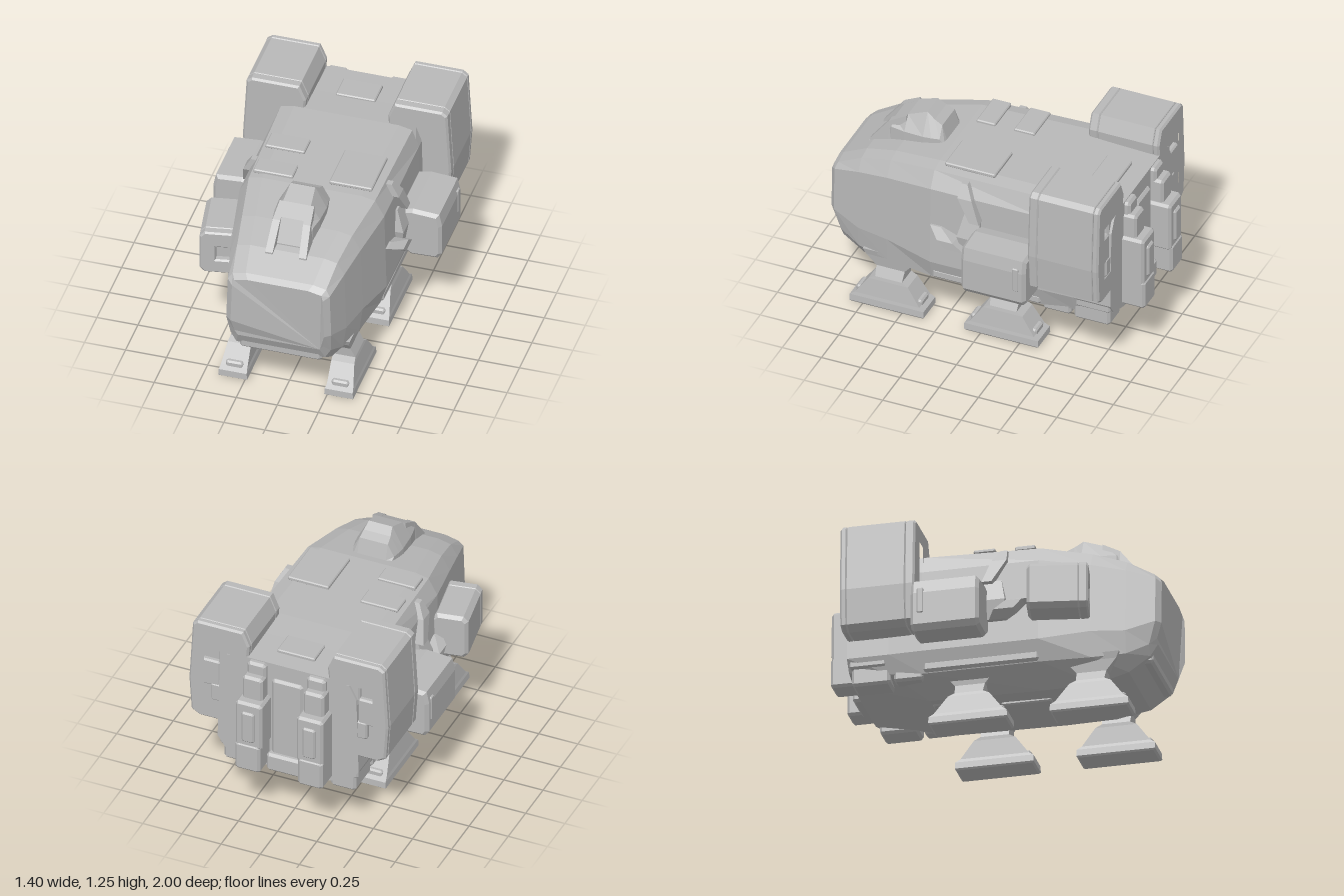
import * as THREE from 'three';

const hullGrey = new THREE.MeshStandardMaterial({ color: 0xb8b8b8, flatShading: true });
hullGrey.name = 'hullGrey';

// Skin a list of closed rings (counter-clockwise seen from the first end) and cap both ends
function loft(rings) {
  const pos = [], n = rings[0].length;
  const tri = (...p) => p.forEach(v => pos.push(...v));
  for (let i = 0; i < rings.length - 1; i++) {
    for (let j = 0; j < n; j++) {
      const a = rings[i][j], b = rings[i][(j + 1) % n];
      const d = rings[i + 1][j], c = rings[i + 1][(j + 1) % n];
      tri(a, d, b); tri(b, d, c);
    }
  }
  const first = rings[0], last = rings[rings.length - 1];
  for (let j = 1; j < n - 1; j++) {
    tri(first[0], first[j], first[j + 1]);
    tri(last[0], last[j + 1], last[j]);
  }
  const g = new THREE.BufferGeometry();
  g.setAttribute('position', new THREE.Float32BufferAttribute(pos, 3));
  g.computeVertexNormals();
  return g;
}

// Complete a right-hand half ring (bottom to top) with its mirror image
const fullRing = half => [...half, ...half.map(([x, y, z]) => [-x, y, z]).reverse()];

// Extruded outline from z0 to z1 with chamfered ends and an optional rectangular opening
function prism(points, z0, z1, bevel, hole) {
  const toV = p => new THREE.Vector2(p[0], p[1]);
  const shape = new THREE.Shape(points.map(toV));
  if (hole) {
    const [x0, x1, y0, y1] = hole;
    shape.holes.push(new THREE.Path([[x0, y0], [x0, y1], [x1, y1], [x1, y0]].map(toV)));
  }
  const g = new THREE.ExtrudeGeometry(shape, {
    depth: z1 - z0 - 2 * bevel, bevelThickness: bevel,
    bevelSize: bevel, bevelOffset: -bevel, bevelSegments: 1
  });
  return g.translate(0, 0, z0 + bevel);
}

const chamferRect = (x0, x1, y0, y1, c) => [
  [x0 + c, y0], [x1 - c, y0], [x1, y0 + c], [x1, y1 - c],
  [x1 - c, y1], [x0 + c, y1], [x0, y1 - c], [x0, y0 + c]];

const block = (x0, x1, y0, y1, z0, z1, c = 0.015) =>
  prism(chamferRect(x0, x1, y0, y1, c), z0, z1, c);

// Mirror across x and restore the winding
function mirrorX(geometry) {
  const g = geometry.index ? geometry.toNonIndexed() : geometry.clone();
  const p = g.attributes.position, a = new THREE.Vector3(), b = new THREE.Vector3();
  for (let i = 0; i < p.count; i += 3) {
    a.fromBufferAttribute(p, i + 1);
    b.fromBufferAttribute(p, i + 2);
    p.setXYZ(i, -p.getX(i), p.getY(i), p.getZ(i));
    p.setXYZ(i + 1, -b.x, b.y, b.z);
    p.setXYZ(i + 2, -a.x, a.y, a.z);
  }
  g.computeVertexNormals();
  return g;
}

export function createModel() {
  const model = new THREE.Group();
  model.name = 'dropship';
  const add = (name, g, parent = model) => {
    const m = new THREE.Mesh(g, hullGrey);
    m.name = name;
    parent.add(m);
  };
  const pair = (name, g) => {
    add(name + 'Left', g);
    add(name + 'Right', mirrorX(g));
  };

  // Hull: z, bottom half-width and y, lower chine half-width and y, mid y, half-width, shoulder y, roof half-width and y, chin setback
  const hull = [
    [1.0, 0.25, 0.44, 0.27, 0.47, 0.56, 0.285, 0.82, 0.265, 0.87, 0.03],
    [0.97, 0.27, 0.36, 0.305, 0.42, 0.56, 0.32, 0.84, 0.285, 0.895, 0.04],
    [0.80, 0.27, 0.27, 0.34, 0.36, 0.50, 0.36, 0.89, 0.305, 0.98, 0],
    [0.60, 0.25, 0.225, 0.38, 0.34, 0.50, 0.40, 0.93, 0.335, 1.04, 0],
    [0.30, 0.25, 0.22, 0.415, 0.33, 0.46, 0.455, 0.97, 0.385, 1.09, 0],
    [-0.40, 0.25, 0.23, 0.415, 0.33, 0.46, 0.455, 0.97, 0.40, 1.10, 0],
    [-0.60, 0.25, 0.29, 0.41, 0.35, 0.46, 0.45, 0.97, 0.40, 1.09, 0],
    [-0.85, 0.25, 0.34, 0.40, 0.39, 0.46, 0.45, 0.97, 0.39, 1.08, 0]
  ].map(([z, bw, b, lw, l, m, w, s, tw, t, k]) => fullRing([
    [bw, b, z - k], [lw, l, z - k], [w, m, z], [w * 0.97, s, z],
    [tw, t - 0.018, z - k / 3], [tw - 0.08, t, z - k / 3]]));
  add('hull', loft(hull));
  add('chinLip', block(-0.25, 0.25, 0.33, 0.42, 0.80, 0.94));

  // Cockpit canopy: z, roof half-width, roof y, base half-width
  const canopy = [
    [0.76, 0.075, 1.0, 0.09], [0.69, 0.08, 1.14, 0.125], [0.60, 0.085, 1.19, 0.14],
    [0.48, 0.075, 1.235, 0.145], [0.43, 0.085, 1.20, 0.14], [0.38, 0.09, 1.175, 0.13],
    [0.35, 0.09, 1.08, 0.12]
  ].map(([z, tw, t, bw]) =>
    fullRing([[bw, 0.92, z], [bw, Math.min(1.10, t - 0.02), z], [tw, t, z]]));
  add('canopy', loft(canopy));
  // Slanted frames beside the windscreen
  const frame = [[0.83, 0.115, 0.975], [0.71, 0.105, 1.13], [0.60, 0.095, 1.19]].map(([z, x, y]) => [
    [x - 0.035, 0.90, z], [x + 0.03, 0.90, z], [x + 0.01, y, z], [x - 0.035, y, z]]);
  pair('canopyFrame', loft(frame));

  // Raised roof and belly panels
  [[-0.37, -0.13, 1.09, 1.112, -0.11, 0.02], [-0.37, -0.13, 1.08, 1.108, 0.14, 0.26],
   [0.09, 0.35, 1.09, 1.116, -0.07, 0.25], [-0.12, 0.12, 1.07, 1.105, -0.74, -0.58],
  ].forEach(p => add('roofPanel', block(...p, 0.006)));
  add('bellyPanel', block(-0.14, 0.14, 0.205, 0.24, 0.0, 0.30, 0.008));
  add('rearBellyPanel', block(-0.20, 0.20, 0.22, 0.30, -0.40, -0.25, 0.01));
  pair('skirt', block(0.36, 0.435, 0.335, 0.40, -0.40, 0.30));
  pair('rearSkirt', block(0.32, 0.415, 0.30, 0.38, -0.58, -0.40));

  // Engine pods with a shallow intake in front and a sunken exhaust behind
  const podOutline = [[0.29, 1.245], [0.58, 1.245], [0.612, 1.22], [0.635, 0.82],
    [0.62, 0.60], [0.57, 0.57], [0.30, 0.57], [0.25, 1.15]];
  pair('enginePod', prism(podOutline, -0.81, -0.46, 0.004));
  pair('engineIntake', prism(podOutline, -0.465, -0.40, 0.012, [0.41, 0.515, 0.74, 1.15]));
  pair('engineExhaust', prism(podOutline, -0.85, -0.805, 0.012, [0.36, 0.55, 0.70, 1.08]));
  [[0.35, 0.45, 0.92, 1.08], [0.44, 0.56, 0.80, 0.98], [0.36, 0.50, 0.70, 0.82]].forEach(
    ([x0, x1, y0, y1], i) => pair('exhaustPlate', block(x0, x1, y0, y1, -0.835 - i * 0.005, -0.80, 0.01)));

  // Side pods amidships
  const sidePod = [[0.42, 0.54], [0.51, 0.48], [0.67, 0.485], [0.697, 0.52],
    [0.697, 0.72], [0.68, 0.80], [0.52, 0.812], [0.42, 0.79]];
  pair('sidePod', prism(sidePod, -0.41, 0.0, 0.02));
  pair('sidePodLatch', block(0.68, 0.702, 0.59, 0.75, -0.37, -0.33, 0.006));

  // Sloping brackets and braces ahead of the side pods: y, outer x, z centre, half-length
  const strut = rows => loft(rows.map(([y, x, z, d]) => [
    [x, y, z + d], [x, y, z - d], [0.36, y, z - d], [0.36, y, z + d]]));
  pair('sideBrace', strut([[1.06, 0.43, 0.09, 0.02], [0.98, 0.475, 0.07, 0.045], [0.84, 0.50, 0.0, 0.03]]));
  pair('sideBracket', strut([[0.86, 0.455, 0.03, 0.05], [0.72, 0.50, 0.04, 0.07], [0.60, 0.48, 0.03, 0.05]]));
  pair('bracketArm', strut([[0.73, 0.46, 0.26, 0.035], [0.69, 0.535, 0.17, 0.05], [0.64, 0.535, 0.11, 0.06], [0.60, 0.48, 0.06, 0.05]]));

  // Single sensor pod on the right cheek, toed inward
  const sensor = new THREE.Group();
  sensor.name = 'sensorPod';
  const sensorOutline = chamferRect(-0.11, 0.11, -0.145, 0.145, 0.03);
  add('sensorBody', prism(sensorOutline, -0.18, 0.14, 0.02), sensor);
  add('sensorOpening', prism(sensorOutline, 0.12, 0.18, 0.01, [-0.015, 0.07, -0.05, 0.04]), sensor);
  sensor.position.set(-0.508, 0.725, 0.435);
  sensor.rotation.y = 0.17;
  model.add(sensor);

  // Stern: stepped thruster columns, centre plates and lower blocks
  pair('thrusterTop', block(0.13, 0.26, 0.80, 1.0, -0.93, -0.80));
  pair('thrusterCowl', block(0.13, 0.25, 0.90, 1.075, -0.885, -0.80));
  pair('thrusterMiddle', block(0.11, 0.28, 0.53, 0.85, -0.985, -0.80));
  pair('thrusterNozzle', block(0.155, 0.235, 0.58, 0.79, -1.0, -0.95, 0.01));
  pair('thrusterBottom', block(0.12, 0.28, 0.37, 0.56, -0.992, -0.80));
  add('sternPlate', block(-0.10, 0.10, 0.42, 0.98, -0.87, -0.82));
  add('sternStep', block(-0.12, 0.12, 0.34, 0.46, -0.90, -0.72));
  pair('lowerBlock', block(0.26, 0.42, 0.295, 0.58, -0.83, -0.60));
  pair('lowerBlockRib', block(0.30, 0.44, 0.40, 0.48, -0.84, -0.62, 0.01));

  // Landing legs: y, x centre, half-width, half-length
  const leg = [[0.37, 0.31, 0.06, 0.17], [0.33, 0.31, 0.05, 0.15], [0.26, 0.305, 0.045, 0.09],
    [0.20, 0.312, 0.068, 0.085], [0.18, 0.315, 0.07, 0.125], [0.07, 0.323, 0.08, 0.205],
    [0.05, 0.323, 0.085, 0.235], [0.01, 0.323, 0.088, 0.237], [0, 0.323, 0.08, 0.225]];
  for (const [name, z] of [['frontLeg', 0.595], ['rearLeg', -0.135]]) {
    pair(name, loft(leg.map(([y, x, w, d]) => [
      [x + w, y, z + d], [x + w, y, z - d], [x - w, y, z - d], [x - w, y, z + d]])));
    pair(name + 'Toe', block(0.27, 0.375, 0.05, 0.10, z - 0.21, z + 0.21, 0.01));
  }
  return model;
}
